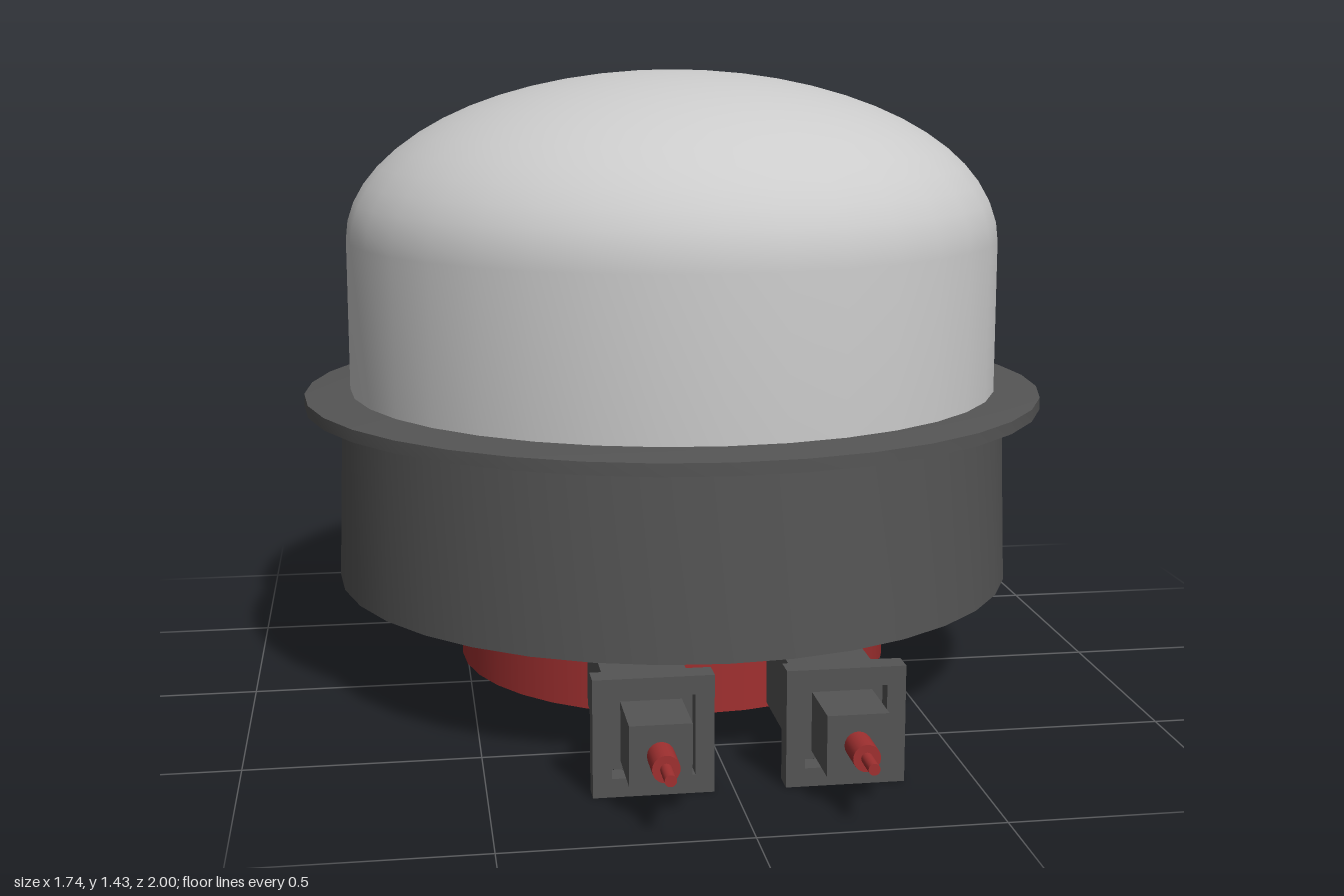
import * as THREE from 'three';
import { toCreasedNormals } from 'three/addons/utils/BufferGeometryUtils.js';

const grey = new THREE.MeshStandardMaterial({ color: 0xcccccc });
const dark = new THREE.MeshStandardMaterial({ color: 0x555555 });
const red = new THREE.MeshStandardMaterial({ color: 0xa03030 });

const AXIS_Z = -0.127; // axis of the round housing
const PIN_Y = 0.122; // height of the connector axis

function add(parent, name, geometry, material, x = 0, y = 0, z = 0) {
  const mesh = new THREE.Mesh(geometry, material);
  mesh.name = name;
  mesh.position.set(x, y, z);
  parent.add(mesh);
  return mesh;
}

// Turned part from [radius, height] pairs, listed from bottom to top
function turned(profile) {
  const points = profile.map(([r, y]) => new THREE.Vector2(r, y));
  return toCreasedNormals(new THREE.LatheGeometry(points, 36), 0.6);
}

// Square frame with a square opening, extruded along z
function squareFrame(outer, inner, depth) {
  const square = (path, s) =>
    path.moveTo(-s, -s).lineTo(s, -s).lineTo(s, s).lineTo(-s, s).closePath();
  const shape = square(new THREE.Shape(), outer / 2);
  shape.holes.push(square(new THREE.Path(), inner / 2));
  return new THREE.ExtrudeGeometry(shape, { depth, bevelEnabled: false });
}

// Connector: square arm, framed flange, socket block and stepped pin
function makeConnector(name, x) {
  const group = new THREE.Group();
  group.name = name;
  group.position.set(x, PIN_Y, 0);
  add(group, 'connectorArm', new THREE.BoxGeometry(0.178, 0.168, 0.44), dark, 0, 0.003, 0.5);
  add(group, 'connectorFlange', squareFrame(0.248, 0.17, 0.05), dark, 0, 0, 0.71);
  add(group, 'connectorBlock', new THREE.BoxGeometry(0.126, 0.126, 0.155), dark, 0, 0, 0.7875);
  const rod = (r, length) => new THREE.CylinderGeometry(r, r, length, 20).rotateX(Math.PI / 2);
  add(group, 'pinSleeve', rod(0.028, 0.08), red, 0, 0, 0.9);
  add(group, 'pinTip', rod(0.012, 0.065), red, 0, 0, 0.9675);
  return group;
}

export function createModel() {
  const model = new THREE.Group();
  model.name = 'domedHousing';

  // Dome: straight wall that runs into a flattened elliptical cap
  const dome = [[0.765, 0.68]];
  const steps = 14;
  for (let i = 0; i <= steps; i++) {
    const a = (i / steps) * Math.PI / 2;
    dome.push([i === steps ? 0 : 0.765 * Math.cos(a), 1.04 + 0.387 * Math.sin(a)]);
  }
  add(model, 'dome', turned(dome), grey, 0, 0, AXIS_Z);

  // Tapered base with a thin rim under the dome
  add(model, 'base', turned([
    [0, 0.238], [0.8, 0.238], [0.785, 0.65], [0.872, 0.65],
    [0.872, 0.678], [0.765, 0.688], [0, 0.688],
  ]), dark, 0, 0, AXIS_Z);

  // Neck and coloured foot
  add(model, 'neck', new THREE.CylinderGeometry(0.517, 0.517, 0.1, 36), dark, 0, 0.195, AXIS_Z);
  add(model, 'foot', new THREE.CylinderGeometry(0.514, 0.514, 0.118, 36), red, 0, 0.089, AXIS_Z);

  // Pair of connectors at the front
  model.add(makeConnector('rightConnector', -0.166));
  model.add(makeConnector('leftConnector', 0.23));
  return model;
}
